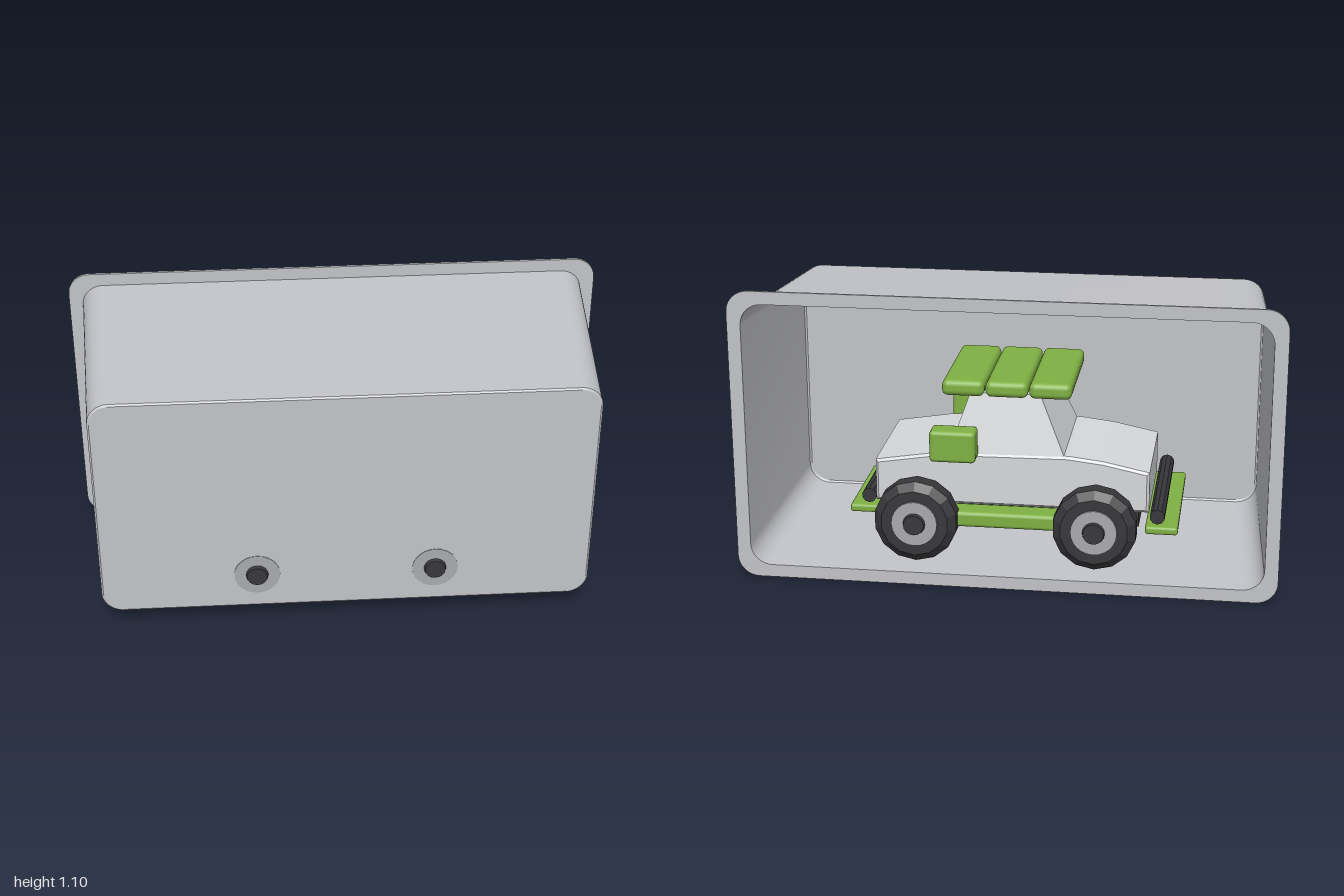
import * as THREE from 'three';
import { toCreasedNormals } from 'three/addons/utils/BufferGeometryUtils.js';
import { RoundedBoxGeometry } from 'three/addons/geometries/RoundedBoxGeometry.js';

function material(name, color, side = THREE.FrontSide) {
  const m = new THREE.MeshStandardMaterial({ color, side });
  m.name = name;
  return m;
}

// Rounded rectangle centred on the tray axis (y = 0.55)
function roundedRect(hw, hh, r, Type = THREE.Shape) {
  const s = new Type();
  const cy = 0.55;
  const corners = [[1, -1, -0.5], [1, 1, 0], [-1, 1, 0.5], [-1, -1, 1]];
  for (const [sx, sy, a] of corners) {
    s.absarc(sx * (hw - r), cy + sy * (hh - r), r, a * Math.PI, (a + 0.5) * Math.PI, false);
  }
  return s;
}

// Skin between rounded rectangles given as [z, halfWidth, halfHeight, radius]
function loft(sections) {
  const pos = [], index = [];
  let n = 0;
  for (const [z, hw, hh, r] of sections) {
    const pts = roundedRect(hw, hh, r).getPoints(5);
    n = pts.length;
    for (const p of pts) pos.push(p.x, p.y, z);
  }
  for (let k = 0; k < sections.length - 1; k++) {
    for (let i = 0; i < n; i++) {
      const a = k * n + i, b = k * n + (i + 1) % n;
      index.push(a, b, b + n, a, b + n, a + n);
    }
  }
  const g = new THREE.BufferGeometry();
  g.setAttribute('position', new THREE.Float32BufferAttribute(pos, 3));
  g.setIndex(index);
  return toCreasedNormals(g, 0.5);
}

// Tapered cabin: a box whose top vertices are pulled in
function cabinGeometry() {
  const g = new THREE.BoxGeometry(1, 1, 1).toNonIndexed();
  const p = g.attributes.position;
  for (let i = 0; i < p.count; i++) {
    const top = p.getY(i) > 0, rear = p.getX(i) > 0;
    const x = top ? (rear ? 0.15 : -0.11) : (rear ? 0.23 : -0.21);
    p.setXYZ(i, x, top ? 0.69 : 0.46, Math.sign(p.getZ(i)) * (top ? 0.18 : 0.235));
  }
  g.computeVertexNormals();
  return g;
}

export function createModel() {
  const model = new THREE.Group();
  model.name = 'carInTray';
  const trayMat = material('tray grey', 0xc2c3c8, THREE.DoubleSide);
  const bodyMat = material('body pale grey', 0xd6d7d9);
  const greenMat = material('leaf green', 0x7fb043);
  const darkMat = material('rubber black', 0x37373a);
  darkMat.flatShading = true;
  const rimMat = material('rim grey', 0xa9aaae);

  const add = (parent, name, geo, mat, x = 0, y = 0, z = 0) => {
    const m = new THREE.Mesh(geo, mat);
    m.name = name;
    m.position.set(x, y, z);
    parent.add(m);
    return m;
  };

  // Tray: tapered walls, closed front panel, flange around the open back
  const tray = new THREE.Group();
  tray.name = 'tray';
  model.add(tray);
  add(tray, 'trayWalls', loft([
    [-0.38, 0.95, 0.502, 0.08], [0.38, 0.907, 0.458, 0.08], [0.385, 0.9, 0.451, 0.075],
  ]), trayMat);
  add(tray, 'trayFrontPanel', new THREE.ShapeGeometry(roundedRect(0.9, 0.451, 0.075), 5), trayMat, 0, 0, 0.385);
  const flange = roundedRect(1, 0.55, 0.08);
  flange.holes.push(roundedRect(0.95, 0.502, 0.08, THREE.Path));
  add(tray, 'trayFlange', toCreasedNormals(
    new THREE.ExtrudeGeometry(flange, { depth: 0.01, bevelEnabled: false, curveSegments: 6 }), 0.5), trayMat, 0, 0, -0.385);

  // Car, nose towards -x
  const car = new THREE.Group();
  car.name = 'car';
  model.add(car);
  const profile = [[0.5, 0.27], [0.5, 0.43], [0.25, 0.47], [-0.22, 0.475], [-0.35, 0.46], [-0.52, 0.425], [-0.52, 0.27]];
  const hull = new THREE.Shape(profile.map(([x, y]) => new THREE.Vector2(x, y)));
  add(car, 'carBody', new THREE.ExtrudeGeometry(hull, {
    depth: 0.46, bevelThickness: 0.01, bevelSize: 0.01, bevelOffset: -0.01, bevelSegments: 1,
  }), bodyMat, 0, 0, -0.23);
  add(car, 'cabin', cabinGeometry(), bodyMat);
  add(car, 'chassis', new THREE.BoxGeometry(0.96, 0.08, 0.38), darkMat, 0, 0.235, 0);

  // Three roof panels across the cabin
  for (let i = 0; i < 3; i++) {
    add(car, 'roofPanel', new RoundedBoxGeometry(0.156, 0.06, 0.48, 3, 0.022), greenMat, 0.17 - i * 0.161, 0.72, 0);
  }

  // Bumper tubes with skid plates
  for (const [x, len, dir] of [[-0.555, 0.6, -1], [0.53, 0.44, 1]]) {
    add(car, 'bumperTube', new THREE.CylinderGeometry(0.028, 0.028, len, 10), darkMat, x, 0.28, 0).rotation.x = Math.PI / 2;
    add(car, 'skidPlate', new RoundedBoxGeometry(0.12, 0.03, len, 2, 0.01), greenMat, x + dir * 0.015, 0.225, 0);
  }

  // Tyre profile, turned around its own axle
  const tyre = new THREE.LatheGeometry([
    [0.08, -0.055], [0.125, -0.055], [0.155, -0.03], [0.155, 0.03], [0.125, 0.055], [0.08, 0.055], [0.08, -0.055],
  ].map(([r, y]) => new THREE.Vector2(r, y)), 14);

  for (const side of [-1, 1]) {
    // Side box and sill
    add(car, 'sideBox', new RoundedBoxGeometry(0.17, 0.12, 0.09, 2, 0.015), greenMat, 0.2, 0.515, side * 0.265);
    add(car, 'sideSill', new RoundedBoxGeometry(0.5, 0.06, 0.1, 2, 0.015), greenMat, 0, 0.24, side * 0.27);

    // Wheels
    for (const x of [-0.33, 0.33]) {
      const wheel = new THREE.Group();
      wheel.name = 'wheel';
      wheel.position.set(x, 0.24, side * 0.325);
      wheel.rotation.x = side * Math.PI / 2;
      car.add(wheel);
      add(wheel, 'tyre', tyre, darkMat);
      add(wheel, 'rim', new THREE.CylinderGeometry(0.085, 0.085, 0.112, 24), rimMat, 0, 0.006, 0);
      add(wheel, 'hubCap', new THREE.CylinderGeometry(0.038, 0.043, 0.02, 16), darkMat, 0, 0.066, 0);
      add(wheel, 'axle', new THREE.CylinderGeometry(0.03, 0.03, 0.2, 10), darkMat, 0, -0.13, 0);
    }
  }
  return model;
}
